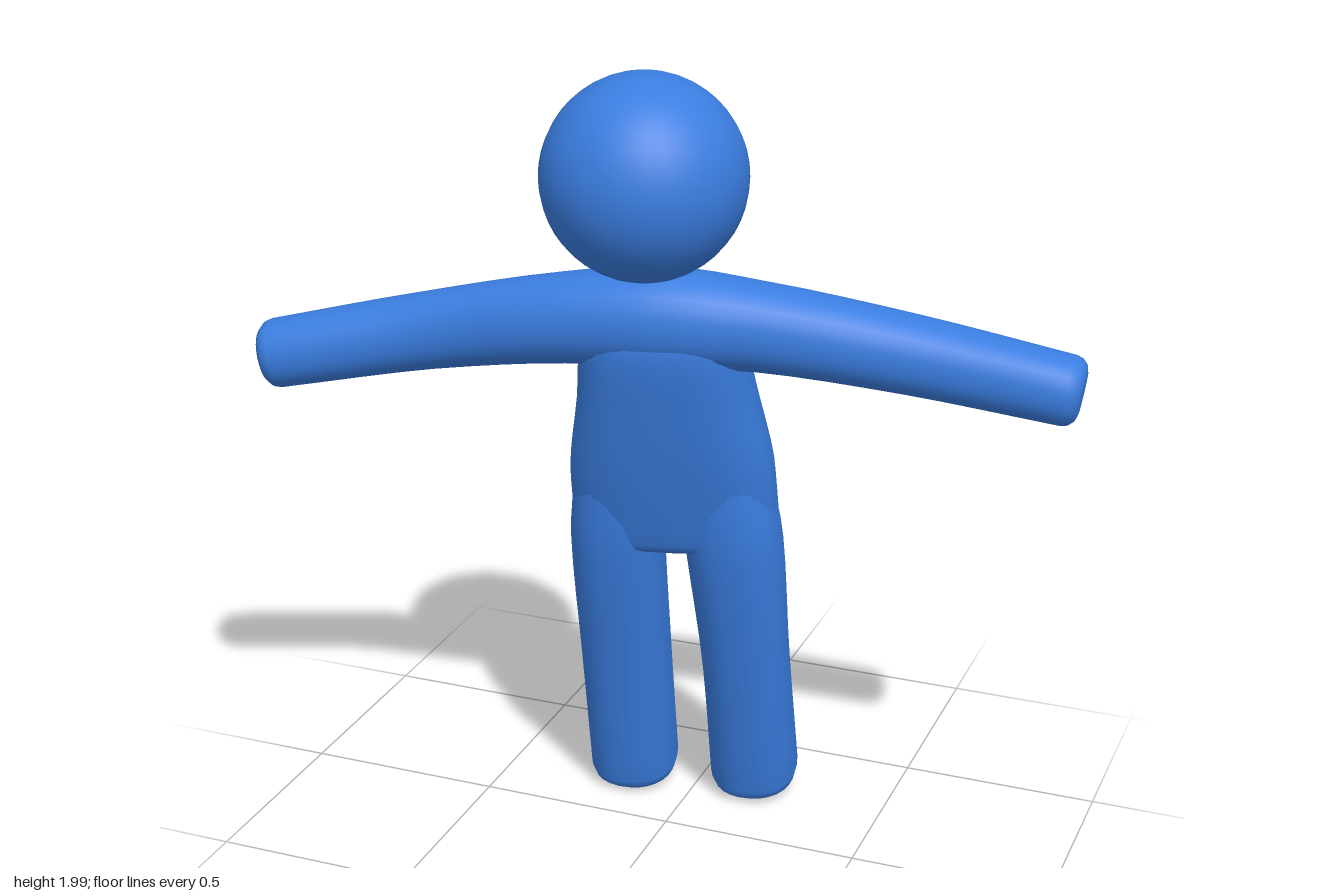
import * as THREE from 'three';

const SIDES = 28;

// Smooth tube through stations [x, y, z, halfWidth, halfDepth], with rounded ends.
// "ref" sets the width direction, "power" the squareness of the section.
function loft(stations, ref, power, round) {
  const path = new THREE.CatmullRomCurve3(stations.map(s => new THREE.Vector3(s[0], s[1], s[2])));
  const size = new THREE.CatmullRomCurve3(stations.map(s => new THREE.Vector3(s[3], s[4], 0)));
  const steps = (stations.length - 1) * 4;
  const pos = [], index = [];
  let rings = 0;

  const ring = (t, along, inset) => {
    const T = path.getTangent(t);
    const C = path.getPoint(t).addScaledVector(T, along);
    const s = size.getPoint(t);
    const U = ref.clone().addScaledVector(T, -ref.dot(T)).normalize();
    const V = T.clone().cross(U);
    for (let j = 0; j < SIDES; j++) {
      const a = (j / SIDES) * Math.PI * 2, c = Math.cos(a), d = Math.sin(a);
      const u = Math.sign(c) * Math.abs(c) ** (2 / power) * Math.max(0, s.x - inset);
      const v = Math.sign(d) * Math.abs(d) ** (2 / power) * Math.max(0, s.y - inset);
      const p = C.clone().addScaledVector(U, u).addScaledVector(V, v);
      pos.push(p.x, p.y, p.z);
    }
    rings++;
  };
  const cap = (t, dir) => {
    const list = [[round, 1], ...[90, 60, 30].map(deg => {
      const a = deg * Math.PI / 180;
      return [round * Math.sin(a), round * (1 - Math.cos(a))];
    })];
    if (dir > 0) list.reverse();
    list.forEach(([along, inset]) => ring(t, along * dir, inset));
  };

  cap(0, -1);
  for (let i = 0; i <= steps; i++) ring(i / steps, 0, 0);
  cap(1, 1);

  for (let i = 0; i < rings - 1; i++) {
    for (let j = 0; j < SIDES; j++) {
      const k = (j + 1) % SIDES;
      const a = i * SIDES + j, b = i * SIDES + k;
      index.push(a, b, b + SIDES, a, b + SIDES, a + SIDES);
    }
  }
  const geo = new THREE.BufferGeometry();
  geo.setAttribute('position', new THREE.Float32BufferAttribute(pos, 3));
  geo.setIndex(index);
  geo.computeVertexNormals();
  return geo;
}

export function createModel() {
  const group = new THREE.Group();
  const blue = new THREE.MeshStandardMaterial({ color: 0x3a7de0 });
  blue.name = 'blue';
  const add = (name, geo) => {
    const mesh = new THREE.Mesh(geo, blue);
    mesh.name = name;
    group.add(mesh);
    return mesh;
  };

  // Head floating just above the shoulders
  add('head', new THREE.SphereGeometry(0.24, 32, 24)).position.set(0.005, 1.76, 0.15);

  // Torso, leaning forward and turned slightly to its right
  const across = new THREE.Vector3(1, 0, -0.2);
  add('torso', loft([
    [0.005, 1.45, 0.06, 0.17, 0.085],
    [0.005, 1.35, 0.045, 0.195, 0.125],
    [0.005, 1.2, 0.01, 0.215, 0.13],
    [0.002, 1.0, -0.035, 0.25, 0.125],
    [0, 0.83, -0.075, 0.255, 0.115],
  ], across, 2.7, 0.04));

  // Both arms as one span running through the shoulders
  add('arms', loft([
    [-0.95, 1.23, 0.183, 0.085, 0.085],
    [-0.58, 1.308, 0.103, 0.094, 0.092],
    [-0.22, 1.38, 0.088, 0.108, 0.108],
    [0.01, 1.398, 0.055, 0.12, 0.12],
    [0.24, 1.385, 0, 0.106, 0.106],
    [0.58, 1.335, -0.078, 0.094, 0.094],
    [0.945, 1.282, -0.115, 0.083, 0.083],
  ], new THREE.Vector3(0, 1, 0), 2.15, 0.035));

  // Legs, trailing backward to rounded feet
  add('rightLeg', loft([
    [-0.13, 0.98, -0.015, 0.105, 0.105],
    [-0.148, 0.78, -0.052, 0.116, 0.117],
    [-0.16, 0.42, -0.133, 0.114, 0.113],
    [-0.17, 0.075, -0.212, 0.113, 0.118],
  ], across, 2.3, 0.045));
  add('leftLeg', loft([
    [0.13, 0.98, -0.06, 0.105, 0.105],
    [0.143, 0.78, -0.1, 0.12, 0.12],
    [0.15, 0.42, -0.18, 0.11, 0.115],
    [0.146, 0.08, -0.267, 0.113, 0.12],
  ], across, 2.3, 0.045));

  return group;
}
